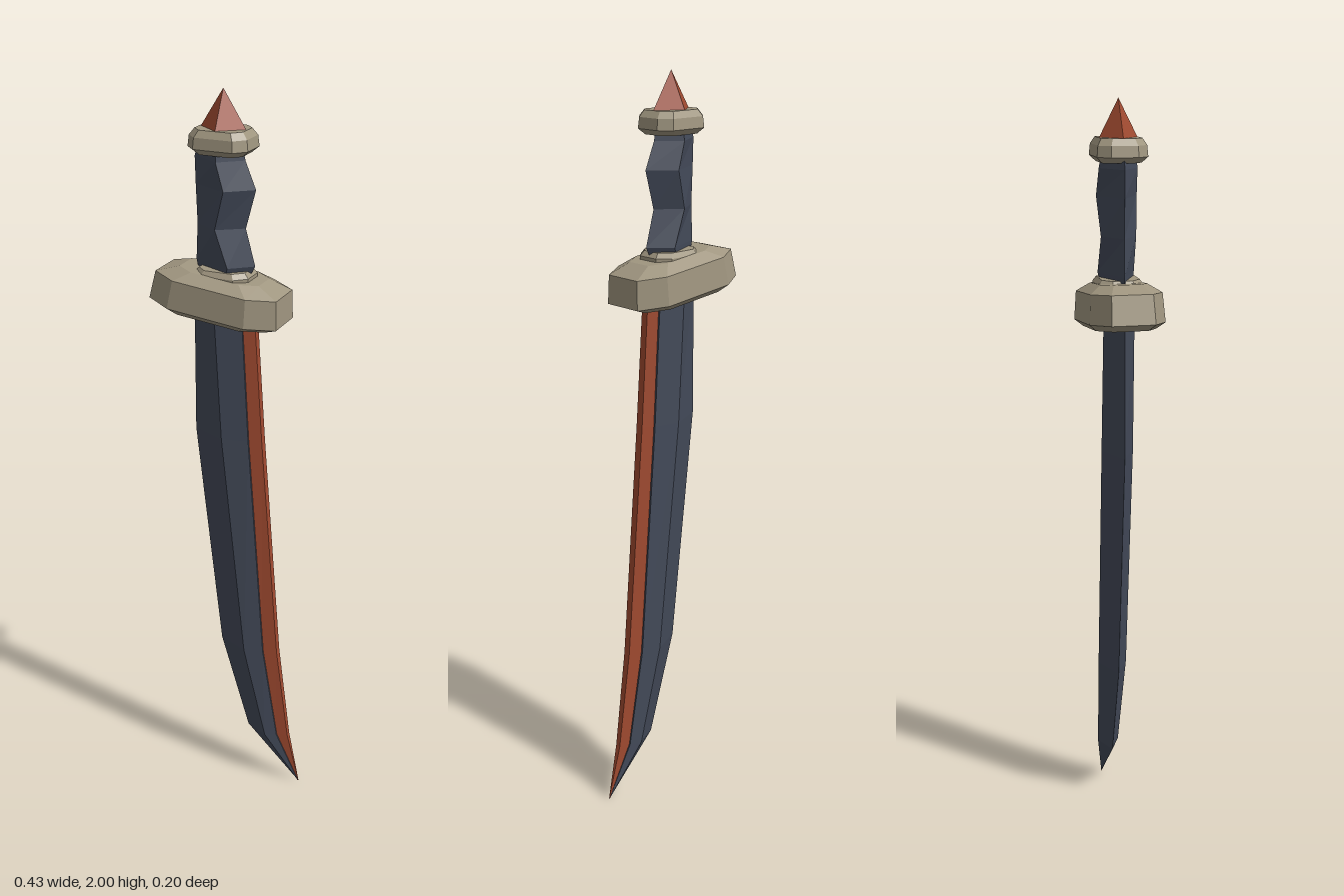
import * as THREE from 'three';

const mat = (name, color) => {
  const m = new THREE.MeshStandardMaterial({ color });
  m.name = name;
  return m;
};

// Closed skin over cross-sections listed bottom to top; each loop runs edge -> front -> back.
function loft(sections) {
  const pos = [];
  const tri = (...p) => p.forEach((v) => pos.push(...v));
  const n = sections[0].length;
  for (let i = 0; i < sections.length - 1; i++) {
    const lo = sections[i], hi = sections[i + 1];
    for (let j = 0; j < n; j++) {
      const k = (j + 1) % n;
      tri(lo[j], lo[k], hi[k]);
      tri(lo[j], hi[k], hi[j]);
    }
  }
  const top = sections[sections.length - 1], bottom = sections[0];
  for (let j = 1; j < n - 1; j++) {
    tri(top[0], top[j], top[j + 1]);
    tri(bottom[0], bottom[j + 1], bottom[j]);
  }
  const g = new THREE.BufferGeometry();
  g.setAttribute('position', new THREE.Float32BufferAttribute(pos, 3));
  g.computeVertexNormals();
  return g;
}

// Stretched octagon with cut corners: half sizes hx, hz and corner starts cx, cz.
const octagon = (y, s, hx, hz, cx, cz) =>
  [[-hx, -cz], [-hx, cz], [-cx, hz], [cx, hz], [hx, cz], [hx, -cz], [cx, -hz], [-cx, -hz]]
    .map(([x, z]) => [x * s, y, z * s]);

export function createModel() {
  const model = new THREE.Group();
  model.name = 'sword';
  const steel = mat('dark blue steel', 0x434a59);
  const red = mat('rust red', 0xa04a30);
  const stone = mat('warm grey', 0xa09680);

  const add = (name, geometry, material, x = 0, y = 0) => {
    const mesh = new THREE.Mesh(geometry, material);
    mesh.name = name;
    mesh.position.set(x, y, 0);
    model.add(mesh);
    return mesh;
  };

  // Curved blade: y, cutting edge x, ridge x, back x, outer x of the red spine, thickness
  const stations = [
    [0.003, 0.207, 0.207, 0.207, 0.208, 0.001],
    [0.16, 0.045, 0.11, 0.142, 0.172, 0.03],
    [0.44, -0.04, 0.047, 0.098, 0.135, 0.04],
    [1.09, -0.115, -0.02, 0.05, 0.083, 0.043],
    [1.46, -0.115, -0.042, 0.028, 0.058, 0.041],
  ];
  add('blade', loft(stations.map(([y, e, r, b, , t]) =>
    [[e, y, 0], [r, y, t], [b, y, t * 0.6], [b, y, -t * 0.6], [r, y, -t]])), steel);
  add('bladeSpine', loft(stations.map(([y, , , b, o, t]) =>
    [[b - 0.003, y, -t * 0.5], [b - 0.003, y, t * 0.5], [o, y, t * 0.25], [o, y, -t * 0.25]])), red);

  // Tilted guard with bevelled top and bottom
  const guardShape = [[-0.052, 0.8], [-0.035, 1], [0.04, 0.945], [0.062, 0.62]];
  const guard = add('guard', loft(guardShape.map(([y, s]) =>
    octagon(y, s, 0.179, 0.098, 0.1075, 0.056))), stone, -0.036, 1.478);
  guard.rotation.z = -0.11;
  add('guardCollar', loft([[1.5, 1], [1.54, 1], [1.553, 0.85]].map(([y, s]) =>
    octagon(y, s, 0.075, 0.058, 0.045, 0.03))), stone, -0.025);

  // Grip with finger grooves: y, rear x, ridge x, finger side x, half thickness
  const grip = [
    [1.53, -0.1, -0.01, 0.038, 0.042],
    [1.565, -0.108, 0, 0.056, 0.048],
    [1.66, -0.104, -0.035, 0.03, 0.046],
    [1.76, -0.108, -0.008, 0.057, 0.053],
    [1.83, -0.11, -0.03, 0.028, 0.05],
    [1.86, -0.1, -0.03, 0.022, 0.045],
  ];
  add('grip', loft(grip.map(([y, l, r, f, t]) =>
    [[l, y, 0], [r, y, t], [f, y, 0], [r, y, -t]])), steel);

  // Pommel ring and pointed gem
  add('pommelRing', loft([[1.845, 0.78], [1.86, 1], [1.888, 0.96], [1.905, 0.8]].map(([y, s]) =>
    octagon(y, s, 0.081, 0.065, 0.053, 0.035))), stone, -0.031);
  const gem = add('pommelGem', loft([1, 0.001].map((s, i) =>
    [[-0.062 * s, i * 0.097, 0], [0, i * 0.097, 0.05 * s], [0.062 * s, i * 0.097, 0], [0, i * 0.097, -0.05 * s]])), red);
  gem.position.set(-0.031, 1.903, 0);

  return model;
}
